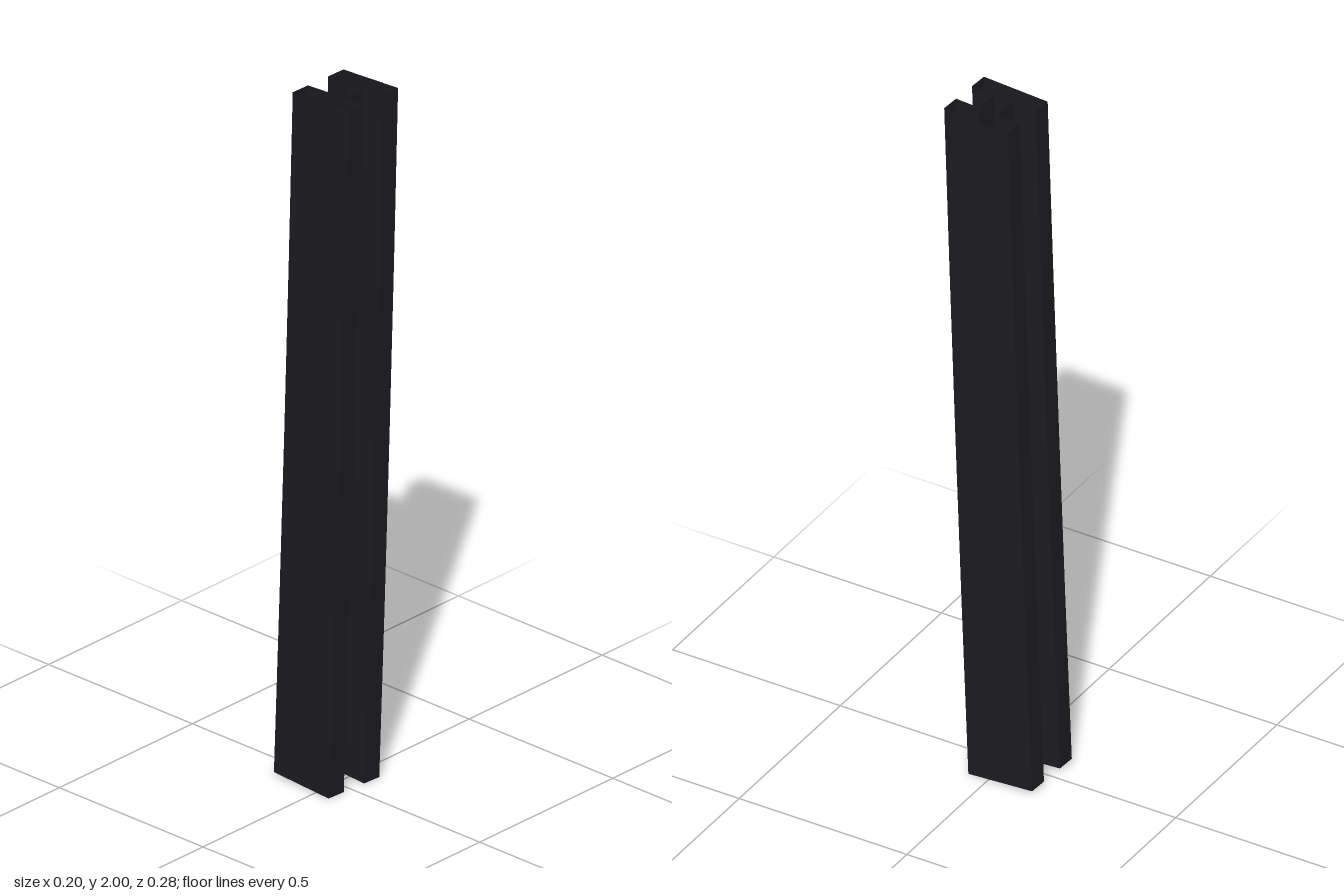
import * as THREE from 'three';

// H-shaped cross-section, walked so that the walls face outwards
const OUT = 0.09, IN = 0.036, DEEP = 0.095, WEB = 0.028;
const half = [[-IN, WEB], [IN, WEB], [IN, DEEP], [OUT, DEEP], [OUT, -DEEP], [IN, -DEEP]];
const outline = [...half, ...half.map(([u, v]) => [-u, -v])];

// Place a profile point at height t (0 bottom, 1 top): the beam leans and bows slightly
function place([u, v], t) {
  const cx = 0.01 - 0.02 * t + 0.014 * t * (1 - t);
  const cz = -0.042 + 0.084 * t;
  const bottom = 0.006 - 0.06 * v - 0.005 * u;
  const top = 1.993 + 0.06 * v + 0.015 * u;
  return [cx + u, THREE.MathUtils.lerp(bottom, top, t), cz + v + 0.055 * u];
}

// Thin-walled, open-ended beam built from rings of the profile
function beamGeometry(steps) {
  const positions = [];
  for (let i = 0; i < steps; i++) {
    const t0 = i / steps, t1 = (i + 1) / steps;
    outline.forEach((p, k) => {
      const q = outline[(k + 1) % outline.length];
      const a = place(p, t0), b = place(q, t0), c = place(q, t1), d = place(p, t1);
      positions.push(...a, ...b, ...c, ...a, ...c, ...d);
    });
  }
  const geometry = new THREE.BufferGeometry();
  geometry.setAttribute('position', new THREE.Float32BufferAttribute(positions, 3));
  geometry.computeVertexNormals();
  return geometry;
}

export function createModel() {
  const group = new THREE.Group();
  group.name = 'hollowBeam';
  const material = new THREE.MeshStandardMaterial({ color: 0x1c1b20, side: THREE.DoubleSide, flatShading: true });
  const beam = new THREE.Mesh(beamGeometry(4), material);
  beam.name = 'beamWalls';
  group.add(beam);
  return group;
}
